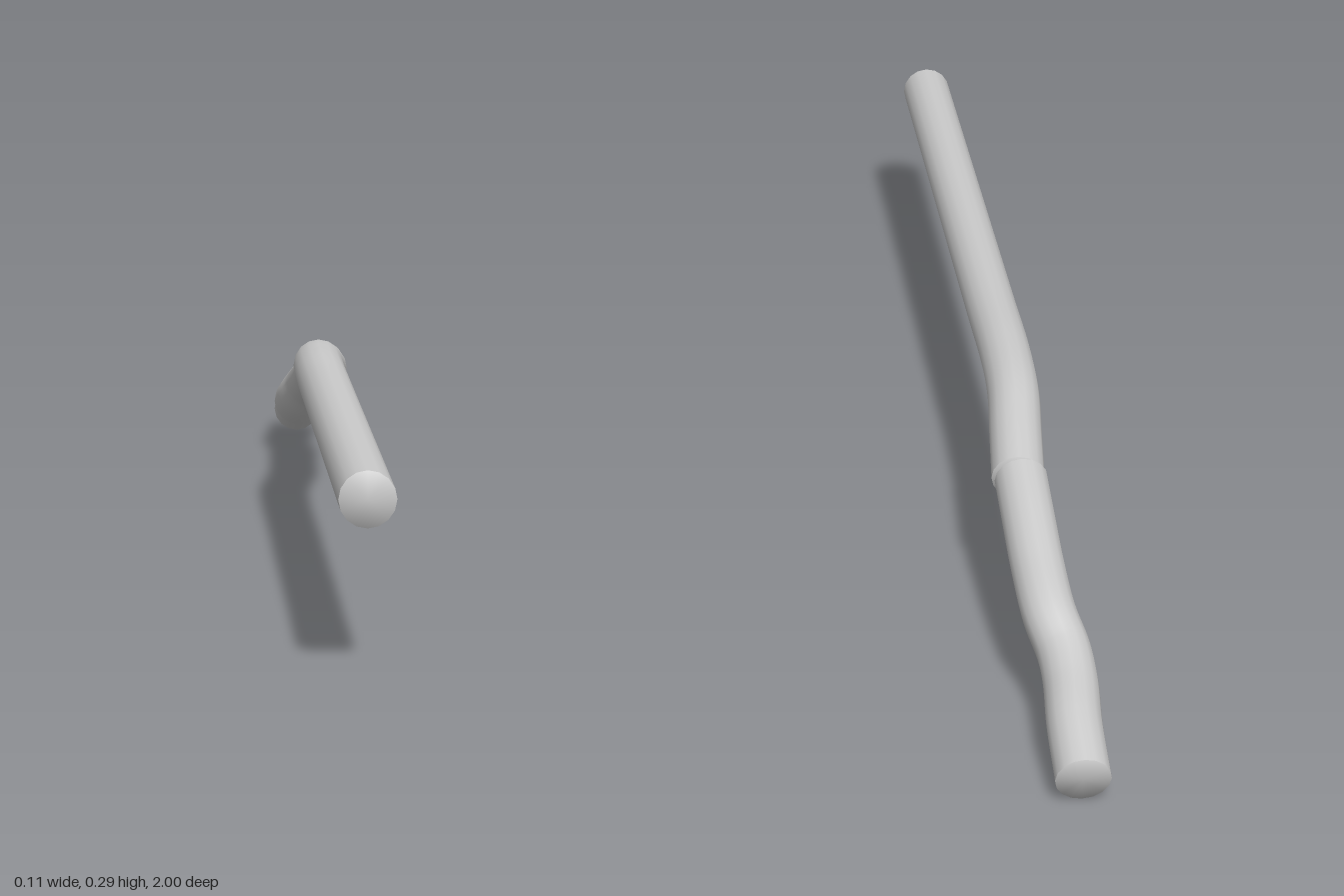
import * as THREE from 'three';

const RADIUS = 0.0405;
const SIDES = 16;

const material = new THREE.MeshStandardMaterial({ color: 0xcccccc });

// Flat disc closing one end of a tube, built on the tube's own end ring.
// Rim normals lean outward so the end shades softly.
function endCap(tube, ring, centre, outward, isStart) {
  const pos = [...centre.toArray()];
  const nor = [...outward.toArray()];
  const index = [];
  const p = new THREE.Vector3();
  for (let i = 0; i <= SIDES; i++) {
    p.fromBufferAttribute(tube.attributes.position, ring * (SIDES + 1) + i);
    pos.push(...p.toArray());
    nor.push(...p.sub(centre).normalize().multiplyScalar(0.6).add(outward).normalize().toArray());
  }
  for (let i = 1; i <= SIDES; i++) {
    // Pick the winding that faces outward
    const a = new THREE.Vector3().fromArray(pos, i * 3).sub(centre);
    const b = new THREE.Vector3().fromArray(pos, i * 3 + 3).sub(centre);
    if (a.cross(b).dot(outward) > 0) index.push(0, i, i + 1);
    else index.push(0, i + 1, i);
  }
  const geo = new THREE.BufferGeometry();
  geo.setAttribute('position', new THREE.Float32BufferAttribute(pos, 3));
  geo.setAttribute('normal', new THREE.Float32BufferAttribute(nor, 3));
  geo.setIndex(index);
  const cap = new THREE.Mesh(geo, material);
  cap.name = isStart ? 'frontCap' : 'backCap';
  return cap;
}

// Closed round rod following a smooth path
function rod(name, points, segments) {
  const curve = new THREE.CatmullRomCurve3(points.map((q) => new THREE.Vector3(...q)));
  const tube = new THREE.TubeGeometry(curve, segments, RADIUS, SIDES, false);
  const wall = new THREE.Mesh(tube, material);
  wall.name = 'wall';
  const group = new THREE.Group();
  group.name = name;
  group.add(
    wall,
    endCap(tube, 0, curve.getPointAt(0), curve.getTangentAt(0).negate(), true),
    endCap(tube, segments, curve.getPointAt(1), curve.getTangentAt(1), false)
  );
  return group;
}

export function createModel() {
  const model = new THREE.Group();
  model.name = 'bentRod';

  // Long straight rod that curves down and sideways at its back end
  model.add(rod('longRod', [
    [-0.013, 0.252, 1],
    [-0.013, 0.252, 0.5],
    [-0.013, 0.252, 0.1],
    [-0.013, 0.253, -0.08],
    [-0.009, 0.247, -0.2],
    [0.001, 0.23, -0.3],
    [0.011, 0.209, -0.402],
  ], 60));

  // Short back rod with a kink
  model.add(rod('kinkedRod', [
    [0.007, 0.208, -0.406],
    [0.008, 0.187, -0.5],
    [0.008, 0.161, -0.6],
    [0.004, 0.135, -0.69],
    [-0.009, 0.105, -0.745],
    [-0.011, 0.086, -0.8],
    [-0.004, 0.067, -0.89],
    [-0.002, 0.0395, -0.989],
  ], 48));

  return model;
}
